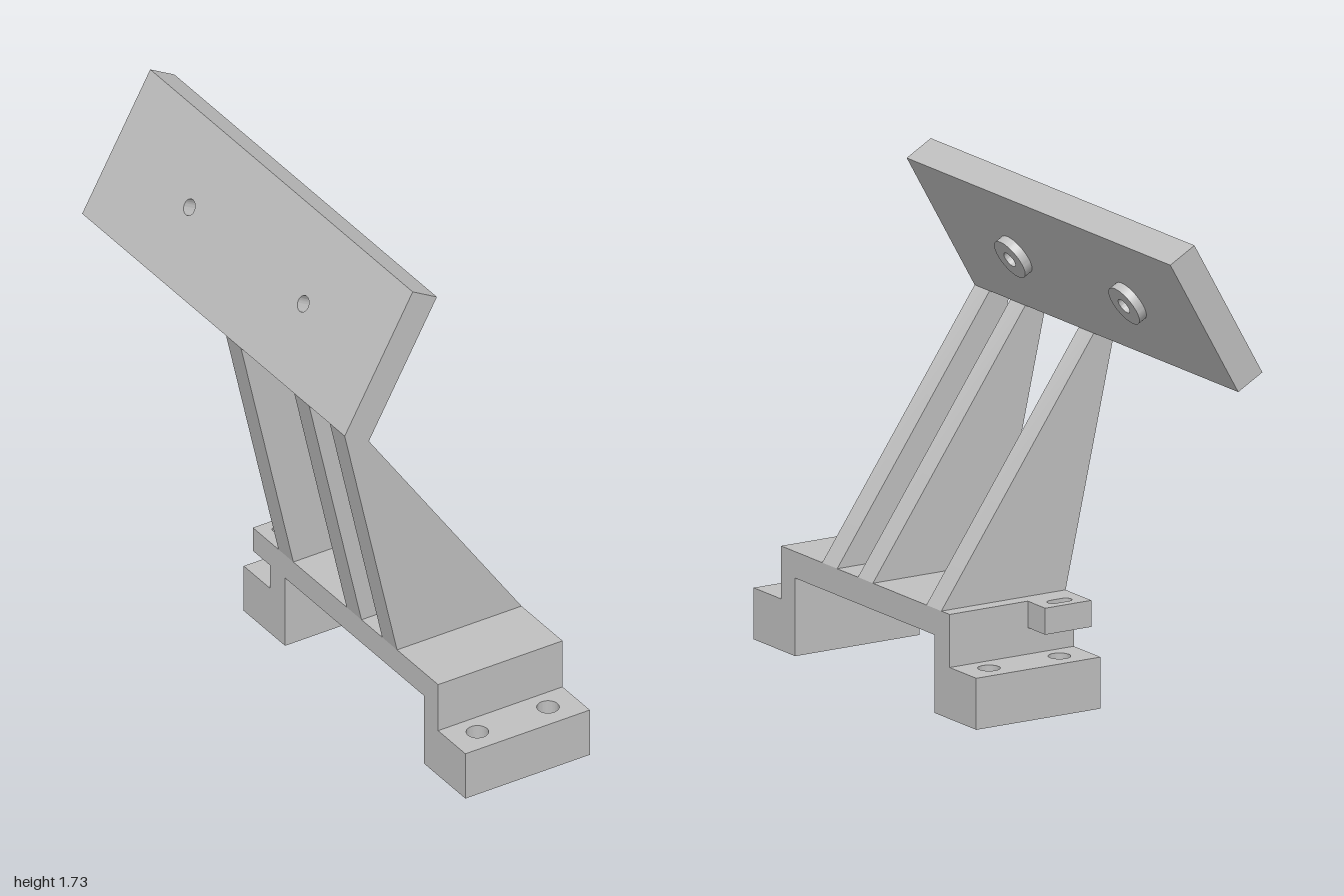
import * as THREE from 'three';
import { toCreasedNormals } from 'three/addons/utils/BufferGeometryUtils.js';

const X0 = -0.14, X1 = 0.345;            // width of the base
const DECK_TOP = 0.355, DECK_LOW = 0.265, FOOT_TOP = 0.175;

const polygon = (pts) => new THREE.Shape(pts.map(([a, b]) => new THREE.Vector2(a, b)));
const rectangle = (a0, a1, b0, b1) => polygon([[a0, b0], [a1, b0], [a1, b1], [a0, b1]]);
const circle = (x, y, r) => new THREE.Path().absarc(x, y, r, 0, Math.PI * 2, true);

function extrude(shape, depth) {
  const g = new THREE.ExtrudeGeometry(shape, { depth, bevelEnabled: false, curveSegments: 24 });
  return toCreasedNormals(g, 0.6);
}

// Horizontal slab drawn in x/z, from yLow to yHigh
function slab(shape, yLow, yHigh) {
  return extrude(shape, yHigh - yLow).rotateX(Math.PI / 2).translate(0, yHigh, 0);
}

export function createModel() {
  const model = new THREE.Group();
  model.name = 'angledBracket';
  const grey = new THREE.MeshStandardMaterial({ color: 0xbfbfbf });
  grey.name = 'grey';

  const add = (name, geometry, parent = model) => {
    const mesh = new THREE.Mesh(geometry, grey);
    mesh.name = name;
    parent.add(mesh);
    return mesh;
  };

  // Bridge: deck with a wall at each end, profile in (-z, y) extruded along x
  const bridge = polygon([
    [-0.835, 0], [-0.75, 0], [-0.75, DECK_LOW], [0.09, DECK_LOW],
    [0.09, 0], [0.18, 0], [0.18, DECK_TOP], [-0.835, DECK_TOP],
  ]);
  add('bridge', extrude(bridge, X1 - X0).rotateY(Math.PI / 2).translate(X0, 0, 0));

  // Feet, each with two screw holes
  for (const [name, z0, z1, holeZ] of [
    ['frontFoot', 0.835, 1, 0.91],
    ['backFoot', -0.34, -0.18, -0.255],
  ]) {
    const foot = rectangle(X0, X1, z0, z1);
    for (const x of [-0.035, 0.24]) foot.holes.push(circle(x, holeZ, 0.037));
    add(name, slab(foot, 0, FOOT_TOP));
  }

  // Small rear tab with a slot
  const tab = rectangle(X0, 0.04, -0.285, -0.18);
  const slot = new THREE.Path();
  slot.absarc(-0.025, -0.232, 0.02, Math.PI / 2, -Math.PI / 2, true);
  slot.absarc(-0.075, -0.232, 0.02, -Math.PI / 2, Math.PI / 2, true);
  slot.closePath();
  tab.holes.push(slot);
  add('rearTab', slab(tab, DECK_LOW, DECK_TOP));

  // Three tapering ribs
  const rib = polygon([[X0, DECK_TOP], [X1, DECK_TOP], [-0.25, 1.21], [-0.344, 1.263]]);
  for (const z of [0.497, 0.282, -0.13]) {
    add('rib', extrude(rib, 0.09).translate(0, 0, z));
  }

  // Tilted panel: local x runs up the slope, y along world z, z out of the lower face
  const panel = new THREE.Group();
  panel.name = 'tiltedPanel';
  const up = new THREE.Vector3(0.265, 0.47, 0).normalize();
  const along = new THREE.Vector3(0, 0, 1);
  const out = new THREE.Vector3().crossVectors(up, along);
  panel.quaternion.setFromRotationMatrix(new THREE.Matrix4().makeBasis(up, along, out));
  panel.position.set(-0.25, 1.21, 0);
  model.add(panel);

  const thickness = 0.108, holeUp = 0.26, holeRadius = 0.028;
  const plate = rectangle(0, 0.54, -1, 0.587);
  for (const z of [0.138, -0.55]) {
    plate.holes.push(circle(holeUp, z, holeRadius));
    // Raised ring around the hole
    const ring = new THREE.Shape().absarc(holeUp, z, 0.075, 0, Math.PI * 2, false);
    ring.holes.push(circle(holeUp, z, holeRadius));
    add('boss', extrude(ring, 0.031), panel);
  }
  add('plate', extrude(plate, thickness).translate(0, 0, -thickness), panel);

  return model;
}
